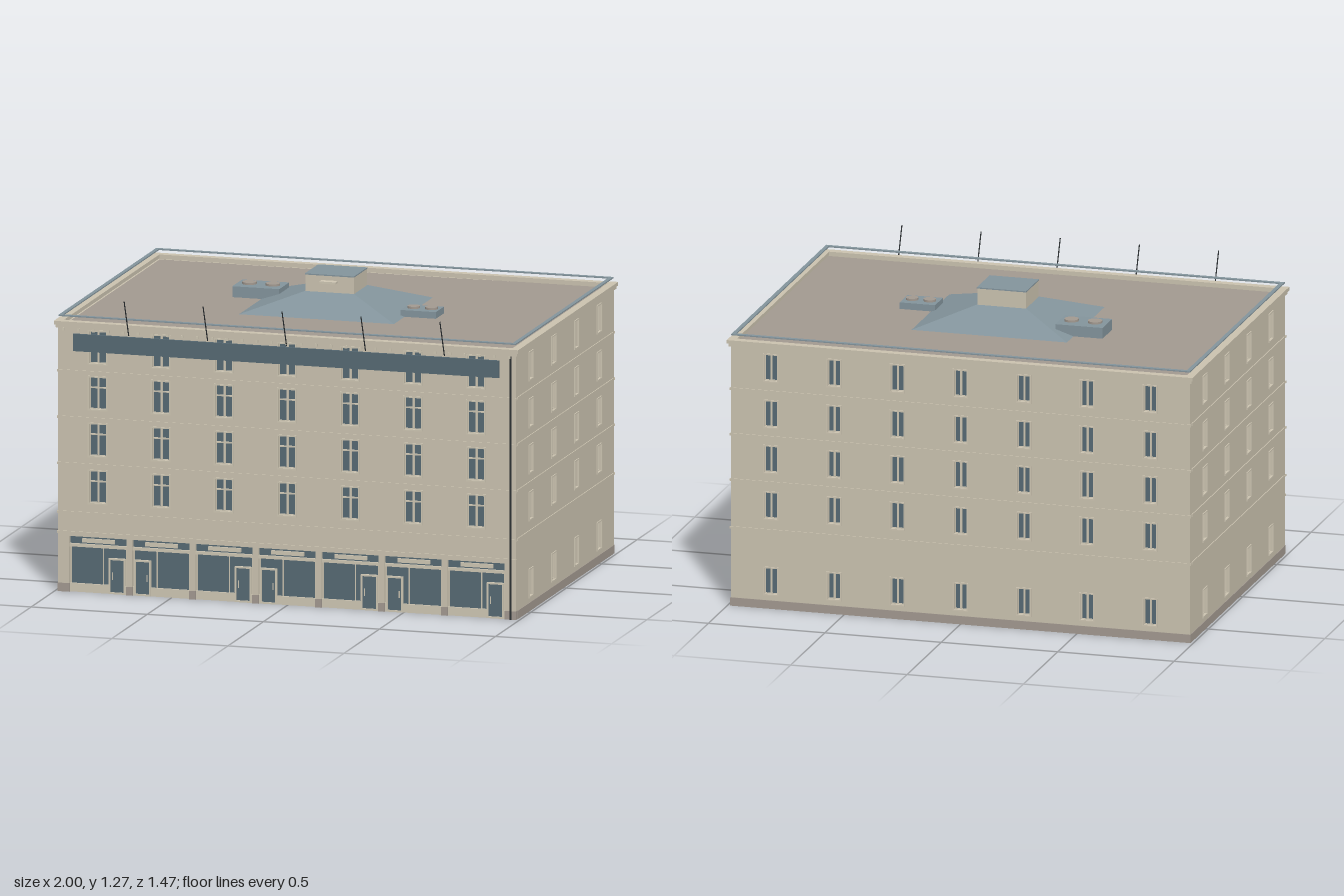
import * as THREE from 'three';

const mat = (name, color, side = THREE.FrontSide) => {
  const m = new THREE.MeshStandardMaterial({ color, side });
  m.name = name;
  return m;
};
const M = {
  wall: mat('beige plaster', 0xc9c1ae),
  trim: mat('pale trim', 0xcdc5b2),
  taupe: mat('taupe stone', 0xa1988f),
  glass: mat('blue grey glass', 0x566973),
  metal: mat('sheet metal', 0x82939b),
  dark: mat('dark iron', 0x2c3033),
};

const W = 1.972, ZF = 0.667, ZB = -0.719, D = ZF - ZB, ZC = (ZF + ZB) / 2;
const T = 0.022, TOP = 1.12, PITCH = 0.2715;
const BANDS = [0.335, 0.54, 0.735, 0.93];

function add(parent, name, geo, material, x = 0, y = 0, z = 0) {
  const m = new THREE.Mesh(geo, material);
  m.name = name;
  m.position.set(x, y, z);
  parent.add(m);
  return m;
}
// box from its min and max corners
function box(parent, name, material, x0, x1, y0, y1, z0, z1) {
  return add(parent, name, new THREE.BoxGeometry(x1 - x0, y1 - y0, z1 - z0), material,
    (x0 + x1) / 2, (y0 + y1) / 2, (z0 + z1) / 2);
}
function trace(p, x0, x1, y0, y1) {
  p.moveTo(x0, y0); p.lineTo(x1, y0); p.lineTo(x1, y1); p.lineTo(x0, y1); p.closePath();
  return p;
}
// flat slab with rectangular holes; each rectangle is [x0, x1, y0, y1]
function slab(outer, holes, depth) {
  const s = trace(new THREE.Shape(), ...outer);
  for (const h of holes) s.holes.push(trace(new THREE.Path(), ...h));
  return new THREE.ExtrudeGeometry(s, { depth, bevelEnabled: false });
}
// shared geometries for one type of window
function windowKit(w, h, transom) {
  const b = 0.006, a = w / 2 - b, c = h / 2 - b, m = 0.004, s = 0.003;
  const rows = transom ? [[-c + s, c * 0.3], [c * 0.3 + 2 * s, c - s]] : [[-c + s, c - s]];
  const panes = rows.flatMap(([y0, y1]) => [[-a + s, -m, y0, y1], [m, a - s, y0, y1]]);
  return {
    a, c,
    surround: slab([-w / 2, w / 2, -h / 2, h / 2], [[-a, a, -c, c]], 0.004),
    sash: slab([-a, a, -c, c], panes, 0.006),
    glass: new THREE.BoxGeometry(2 * a, 2 * c, 0.006),
  };
}
const frontKit = windowKit(0.085, 0.146, true);
const plainKit = windowKit(0.066, 0.123, false);

// wall with a window grid, its outer face on local z = 0
function wall(name, width, y0, cols, pitch, rows, kit) {
  const g = new THREE.Group();
  g.name = name;
  const holes = [];
  for (const y of rows) for (let i = 0; i < cols; i++) {
    const x = (i - (cols - 1) / 2) * pitch;
    holes.push([x - kit.a, x + kit.a, y - kit.c, y + kit.c]);
    add(g, 'windowSurround', kit.surround, M.trim, x, y, 0);
    add(g, 'windowSash', kit.sash, M.trim, x, y, -0.014);
    add(g, 'windowGlass', kit.glass, M.glass, x, y, -T + 0.002);
  }
  add(g, 'wallPanel', slab([-width / 2, width / 2, y0, TOP], holes, T), M.wall, 0, 0, -T);
  for (const y of BANDS) box(g, 'stringCourse', M.wall, -width / 2 - 0.004, width / 2 + 0.004, y - 0.005, y + 0.005, -0.002, 0.004);
  return g;
}

// one shop bay; side = +1 puts the door towards +x
function shopBay(x, side) {
  const g = new THREE.Group();
  g.name = 'shopBay';
  g.position.x = x;
  const e = 0.1245, dx = side * 0.081, zg = -T;
  box(g, 'shopGlass', M.glass, -e, e, 0.02, 0.235, zg, zg + 0.006);
  box(g, 'bulkhead', M.trim, -e, e, 0, 0.036, zg - 0.001, zg + 0.014);
  box(g, 'transomBar', M.trim, -e, e, 0.19, 0.203, zg, zg + 0.016);
  box(g, 'nameBoard', M.trim, -0.07, 0.07, 0.209, 0.226, zg, zg + 0.014);
  for (const mx of [-0.119, 0.119, side * 0.02])
    box(g, 'mullion', M.trim, mx - 0.002, mx + 0.002, 0.036, 0.19, zg, zg + 0.011);
  const frame = slab([-0.036, 0.036, 0, 0.15], [[-0.029, 0.029, 0.008, 0.143]], 0.018);
  add(g, 'doorFrame', frame, M.trim, dx, 0, zg);
  box(g, 'doorGlass', M.glass, dx - 0.029, dx + 0.029, 0.008, 0.143, zg, zg + 0.015);
  box(g, 'doorHandle', M.trim, dx - side * 0.02 - 0.002, dx - side * 0.02 + 0.002, 0.06, 0.09, zg + 0.014, zg + 0.018);
  return g;
}

function frontWall() {
  const g = wall('frontWall', W, 0.235, 7, PITCH, [0.447, 0.645, 0.842, 1.035], frontKit);
  for (let i = 0; i < 7; i++) g.add(shopBay((i - 3) * PITCH, i % 2 ? -1 : 1));
  // pilasters with stone feet
  for (let i = 0; i < 8; i++) {
    const c = (i - 3.5) * PITCH;
    const x0 = i === 0 ? -W / 2 : c - 0.0125, x1 = i === 7 ? W / 2 : c + 0.0125;
    box(g, 'pilaster', M.wall, x0, x1, 0, 0.235, -T, 0);
    box(g, 'pilasterFoot', M.taupe, x0 - 0.001, x1 + 0.001, 0, 0.036, -T, 0.002);
  }
  box(g, 'shopCornice', M.wall, -W / 2 - 0.003, W / 2 + 0.003, 0.246, 0.256, -0.002, 0.005);
  box(g, 'signBoard', M.glass, -0.918, 0.916, 1.017, 1.09, 0.003, 0.012);
  for (let i = 0; i < 31; i++) {
    const x = (i - 15) * 0.064;
    box(g, 'corniceBracket', M.trim, x - 0.005, x + 0.005, 1.1, 1.112, -0.001, 0.009);
  }
  const pipe = new THREE.CylinderGeometry(0.004, 0.004, 1.11, 8);
  add(g, 'drainPipe', pipe, M.dark, 0.965, 0.555, 0.005);
  return g;
}

// horizontal ring, inset from the wall outline by o (outer) and i (inner)
function ring(parent, name, material, o, i, y0, y1) {
  const r = (k) => [-W / 2 + k, W / 2 - k, -D / 2 + k, D / 2 - k];
  const m = add(parent, name, slab(r(o), [r(i)], y1 - y0), material, 0, y0, ZC);
  m.rotation.x = -Math.PI / 2;
}

// sloped hip roof from two rectangles [x0, x1, z0, z1]
function hipRoof(b, yb, t, yt) {
  const ringPts = ([x0, x1, z0, z1], y) => [[x0, y, z1], [x1, y, z1], [x1, y, z0], [x0, y, z0]];
  const B = ringPts(b, yb), U = ringPts(t, yt), p = [];
  for (let i = 0; i < 4; i++) {
    const j = (i + 1) % 4;
    p.push(...B[i], ...B[j], ...U[j], ...B[i], ...U[j], ...U[i]);
  }
  const geo = new THREE.BufferGeometry();
  geo.setAttribute('position', new THREE.Float32BufferAttribute(p, 3));
  geo.computeVertexNormals();
  return geo;
}

function coolingUnit(x0, x1, z0, z1, top, r) {
  const g = new THREE.Group();
  g.name = 'coolingUnit';
  box(g, 'unitCasing', M.metal, x0, x1, TOP, top, z0, z1);
  for (const f of [0.26, 0.76])
    add(g, 'fanCap', new THREE.CylinderGeometry(r, r, 0.01, 20), M.taupe, x0 + (x1 - x0) * f, top + 0.004, (z0 + z1) / 2);
  return g;
}

export function createModel() {
  const model = new THREE.Group();
  model.name = 'cityBuilding';

  // four walls
  const front = frontWall();
  front.position.z = ZF;
  model.add(front);
  const rows = [0.117, 0.441, 0.639, 0.833, 1.031];
  const sides = [
    ['leftWall', D - 2 * T, 4, 0.321, W / 2, ZC, Math.PI / 2],
    ['rightWall', D - 2 * T, 4, 0.321, -W / 2, ZC, -Math.PI / 2],
    ['backWall', W, 7, PITCH, 0, ZB, Math.PI],
  ];
  for (const [name, width, cols, pitch, x, z, turn] of sides) {
    const g = wall(name, width, 0, cols, pitch, rows, plainKit);
    box(g, 'plinth', M.taupe, -width / 2 - 0.002, width / 2 + 0.002, -0.0005, 0.035, -T - 0.001, 0.003);
    g.position.set(x, 0, z);
    g.rotation.y = turn;
    model.add(g);
  }

  // roof deck, stepped cornice and raised metal edge
  box(model, 'roofDeck', M.taupe, -W / 2 + 0.01, W / 2 - 0.01, TOP - 0.01, TOP, ZB + 0.01, ZF - 0.01);
  ring(model, 'corniceLower', M.wall, -0.008, 0.015, 1.112, 1.125);
  ring(model, 'corniceUpper', M.wall, -0.014, 0.02, 1.125, 1.14);
  ring(model, 'roofEdgeRail', M.metal, 0.001, 0.018, 1.158, 1.163);

  // hipped skylight with lantern box
  add(model, 'hipRoof', hipRoof([-0.335, 0.332, -0.305, 0.245], TOP, [-0.106, 0.106, -0.122, 0.066], 1.196), M.metal);
  box(model, 'lanternBox', M.wall, -0.104, 0.104, 1.19, 1.265, -0.12, 0.064);
  box(model, 'lanternLid', M.metal, -0.106, 0.106, 1.265, 1.27, -0.122, 0.066);
  box(model, 'lanternShelf', M.trim, -0.035, 0.035, 1.237, 1.246, 0.064, 0.094);

  model.add(coolingUnit(-0.46, -0.258, -0.21, -0.07, 1.166, 0.03));
  model.add(coolingUnit(0.315, 0.467, -0.02, 0.095, 1.148, 0.026));

  // leaning flag poles on the facade
  const lower = new THREE.Vector3(0, 1.095, 0.672), upper = new THREE.Vector3(0, 1.253, 0.737);
  const poleGeo = new THREE.TubeGeometry(new THREE.LineCurve3(lower, upper), 1, 0.0025, 6);
  for (let i = -2; i <= 2; i++) add(model, 'flagPole', poleGeo, M.dark, i * 0.34);

  return model;
}
